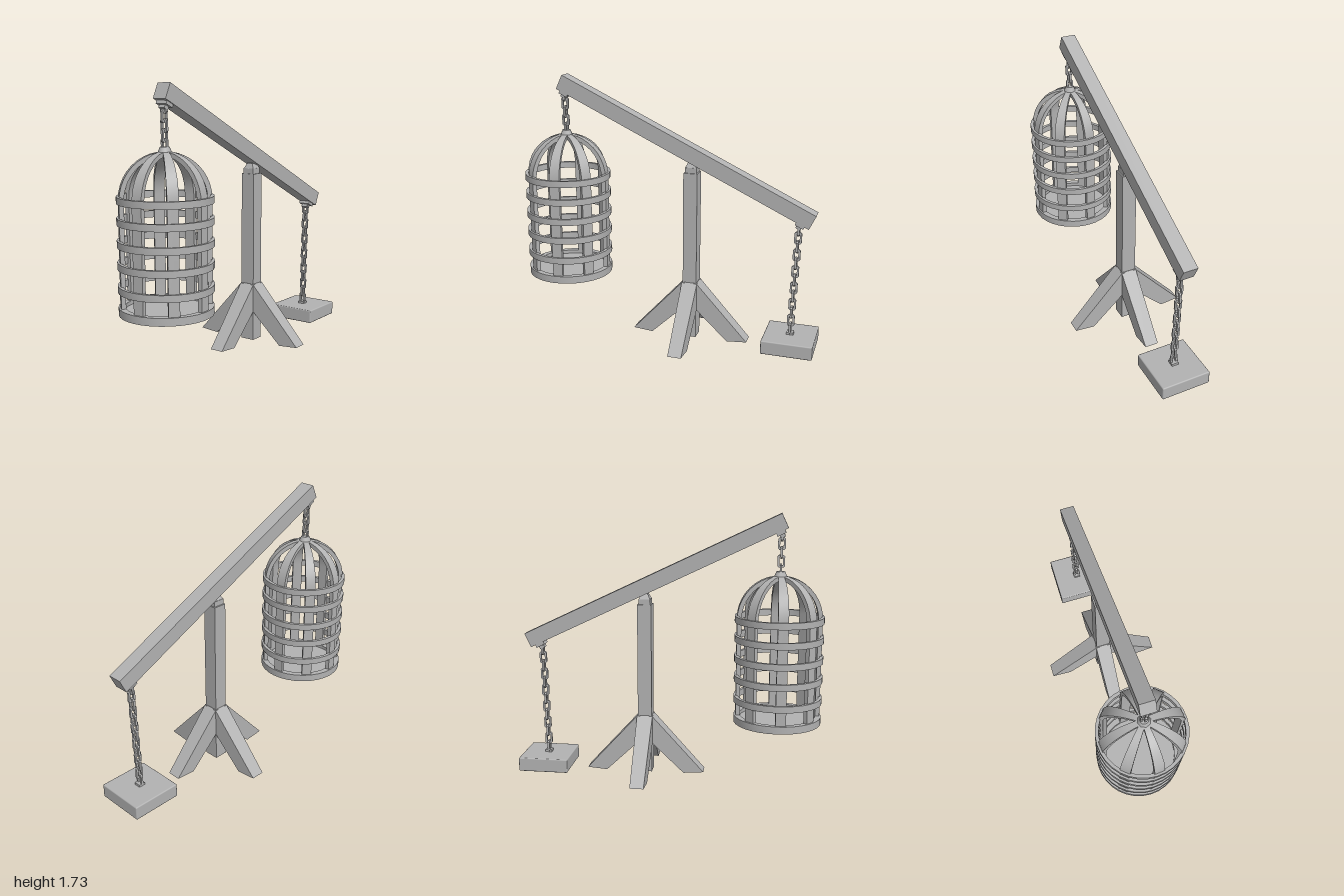
import * as THREE from 'three';
import { toCreasedNormals } from 'three/addons/utils/BufferGeometryUtils.js';
import { RoundedBoxGeometry } from 'three/addons/geometries/RoundedBoxGeometry.js';

const grey = new THREE.MeshStandardMaterial({ color: 0xb2b2b2 });
grey.name = 'plain grey';

const POST_Z = -0.156, CAGE_Z = 0.715, WEIGHT_Z = -0.832;
const TILT = 0.445; // slope of the beam

function add(parent, name, geometry, x = 0, y = 0, z = 0) {
  const mesh = new THREE.Mesh(geometry, grey);
  mesh.name = name;
  mesh.position.set(x, y, z);
  parent.add(mesh);
  return mesh;
}

function group(parent, name, x = 0, y = 0, z = 0) {
  const g = new THREE.Group();
  g.name = name;
  g.position.set(x, y, z);
  parent.add(g);
  return g;
}

// Extrude a side profile, its width given by a rule of the distance from the axis
function profileBar(points, widthAt) {
  const shape = new THREE.Shape(points.map(([r, y]) => new THREE.Vector2(r, y)));
  const geo = new THREE.ExtrudeGeometry(shape, { depth: 1, bevelEnabled: false });
  geo.translate(0, 0, -0.5);
  const p = geo.attributes.position;
  for (let i = 0; i < p.count; i++) p.setZ(i, p.getZ(i) * widthAt(p.getX(i)));
  return toCreasedNormals(geo, 0.5);
}

// Square-section hoop
function hoop(inner, outer, y0, y1) {
  const pts = [[inner, y0], [outer, y0], [outer, y1], [inner, y1], [inner, y0]]
    .map(([r, y]) => new THREE.Vector2(r, y));
  return toCreasedNormals(new THREE.LatheGeometry(pts, 32), 0.5);
}

// One flat chain link with clipped corners
function linkGeometry() {
  const outline = (w, h, c) => [[-w + c, -h], [w - c, -h], [w, -h + c], [w, h - c],
    [w - c, h], [-w + c, h], [-w, h - c], [-w, -h + c]].map(([x, y]) => new THREE.Vector2(x, y));
  const shape = new THREE.Shape(outline(0.024, 0.04, 0.01));
  shape.holes.push(new THREE.Path(outline(0.011, 0.027, 0.005)));
  const geo = new THREE.ExtrudeGeometry(shape, { depth: 0.014, bevelEnabled: false });
  return geo.translate(0, 0, -0.007);
}

// Links from bottom to top, every second one turned a quarter
function chain(parent, name, bottom, top, count) {
  const g = group(parent, name);
  const geo = linkGeometry();
  for (let i = 0; i < count; i++) {
    const link = add(g, 'chainLink', geo);
    link.position.lerpVectors(bottom, top, i / (count - 1));
    link.rotation.y = i % 2 ? Math.PI / 2 : 0;
  }
}

function buildStand(model) {
  const stand = group(model, 'stand', 0, 0, POST_Z);
  add(stand, 'post', new THREE.BoxGeometry(0.096, 1.135, 0.092), 0, 0.5725, 0);
  add(stand, 'postNeck', new THREE.BoxGeometry(0.078, 0.04, 0.076), 0, 1.155, 0);
  const tip = new THREE.CylinderGeometry(0.03, 0.054, 0.035, 4, 1).rotateY(Math.PI / 4);
  add(stand, 'postTip', tip.toNonIndexed(), 0, 1.19, 0).geometry.computeVertexNormals();

  // four splayed feet
  const leg = profileBar([[0.261, 0.005], [0.394, 0.015], [0.048, 0.395], [0.03, 0.395], [0.03, 0.225]],
    r => 0.106 - 0.04 * r);
  for (let i = 0; i < 4; i++) add(stand, 'leg', leg).rotation.y = i * Math.PI / 2;
}

function buildBeam(model) {
  const beam = group(model, 'beam', 0, 1.285, -0.104);
  beam.rotation.x = -TILT;
  add(beam, 'beamBar', new THREE.BoxGeometry(0.096, 0.1, 1.86));
  // hangers under both ends
  for (const z of [0.875, -0.87]) {
    add(beam, 'hangerPlate', new THREE.BoxGeometry(0.08, 0.022, 0.06), 0, -0.059, z);
    add(beam, 'hangerLug', new THREE.BoxGeometry(0.045, 0.025, 0.035), 0, -0.078, z);
  }
}

function buildCage(model) {
  const cage = group(model, 'cage', 0, 0, CAGE_Z);
  add(cage, 'floor', new THREE.CylinderGeometry(0.275, 0.28, 0.025, 32), 0, 0.39, 0);
  add(cage, 'baseRim', hoop(0.246, 0.284, 0.378, 0.426));
  for (const y of [0.536, 0.675, 0.804, 0.936, 1.061])
    add(cage, 'hoop', hoop(0.264, 0.286, y - 0.021, y + 0.021));

  // upright bars that bend over into the dome
  const outer = [[0.272, 0.4]], inner = [[0.244, 0.4]];
  for (let i = 0; i <= 10; i++) {
    const a = i / 10 * Math.PI / 2;
    outer.push([0.272 * Math.cos(a), 1.06 + 0.278 * Math.sin(a)]);
    inner.push([0.244 * Math.cos(a), 1.06 + 0.25 * Math.sin(a)]);
  }
  const rib = profileBar([...outer, ...inner.reverse()], r => 0.03 + 0.036 * Math.min(1, r / 0.244));
  for (let i = 0; i < 8; i++)
    add(cage, 'rib', rib).rotation.y = THREE.MathUtils.degToRad(5 + 45 * i);

  add(cage, 'crown', new THREE.CylinderGeometry(0.028, 0.045, 0.04, 8), 0, 1.345, 0);
}

export function createModel() {
  const model = new THREE.Group();
  model.name = 'balanceCage';
  buildStand(model);
  buildBeam(model);
  buildCage(model);

  add(model, 'counterweight', new RoundedBoxGeometry(0.333, 0.093, 0.333, 2, 0.008), 0, 0.0545, WEIGHT_Z);
  add(model, 'weightLug', new THREE.BoxGeometry(0.045, 0.02, 0.045), 0, 0.107, WEIGHT_Z);

  chain(model, 'cageChain', new THREE.Vector3(0, 1.375, CAGE_Z),
    new THREE.Vector3(0, 1.595, CAGE_Z + 0.003), 5);
  chain(model, 'weightChain', new THREE.Vector3(0, 0.14, WEIGHT_Z + 0.002),
    new THREE.Vector3(0, 0.82, -0.855), 13);
  return model;
}
